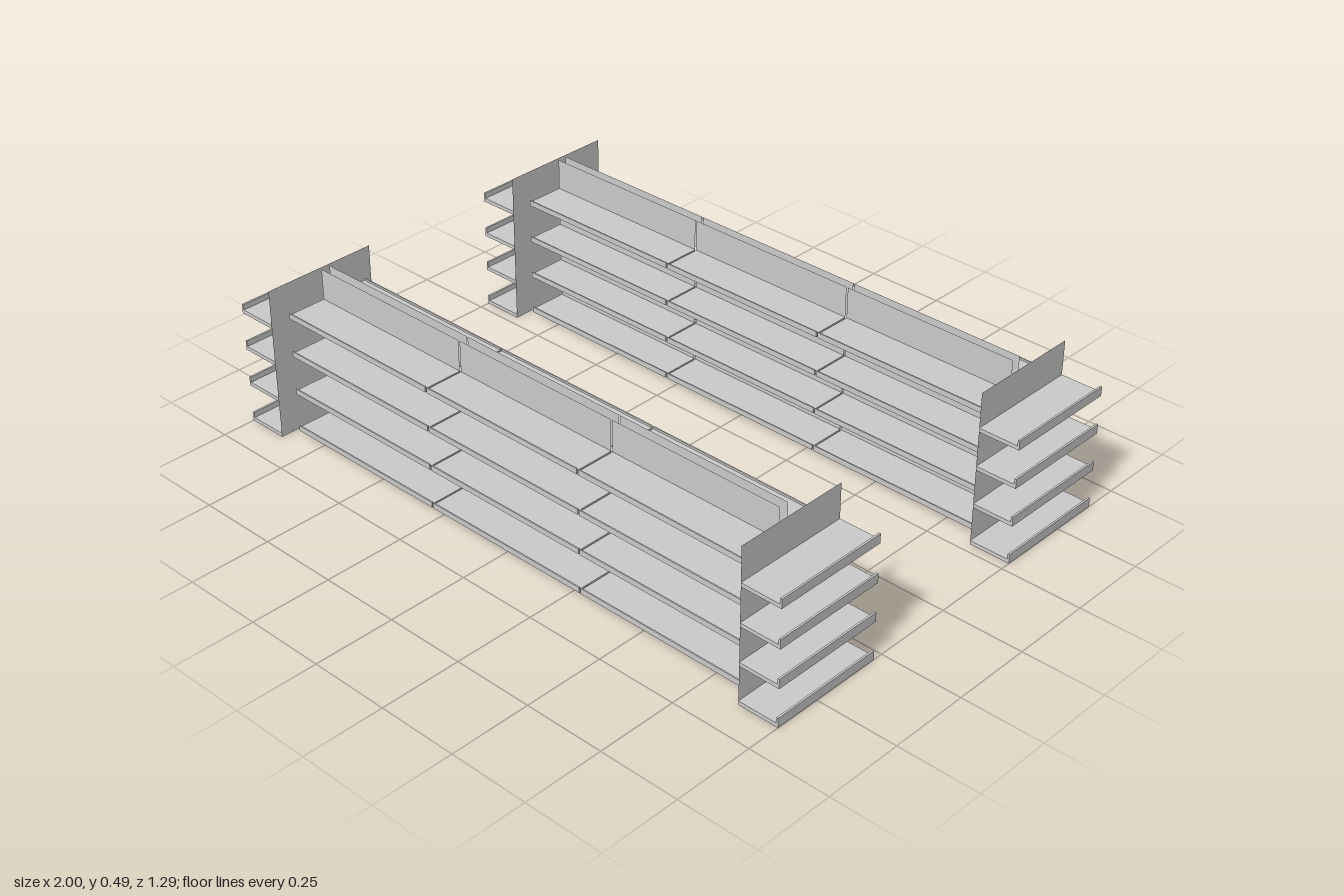
import * as THREE from 'three';

const material = new THREE.MeshStandardMaterial({ color: 0xcccccc, flatShading: true, side: THREE.DoubleSide });

function addMesh(parent, name, geometry, x, y, z) {
  const mesh = new THREE.Mesh(geometry, material);
  mesh.name = name;
  mesh.position.set(x, y, z);
  parent.add(mesh);
}

// One bay: back sheet at z = 0, shelf reaching towards +z, raised lip on its edge
function createBay({ width, height, depth, thickness, lipTop, lipDepth }) {
  const bay = new THREE.Group();
  bay.name = 'shelfBay';
  addMesh(bay, 'backPanel', new THREE.PlaneGeometry(width, height), 0, height / 2, 0);
  addMesh(bay, 'shelf', new THREE.BoxGeometry(width, thickness, depth - lipDepth), 0, thickness / 2, (depth - lipDepth) / 2);
  addMesh(bay, 'shelfLip', new THREE.BoxGeometry(width, lipTop, lipDepth), 0, lipTop / 2, depth - lipDepth / 2);
  return bay;
}

const LEVELS = 4;
const SIDE_BAY = { width: 0.56, height: 0.107, depth: 0.124, thickness: 0.011, lipTop: 0.017, lipDepth: 0.004 };
const END_BAY = { width: 0.364, height: 0.119, depth: 0.128, thickness: 0.012, lipTop: 0.029, lipDepth: 0.006 };

// Double-sided aisle with a shelf stack at each end
function createAisle() {
  const aisle = new THREE.Group();
  aisle.name = 'shelfAisle';
  for (const side of [1, -1]) {
    const longSide = new THREE.Group();
    longSide.name = side > 0 ? 'frontShelves' : 'backShelves';
    const endStack = new THREE.Group();
    endStack.name = side > 0 ? 'leftEndShelves' : 'rightEndShelves';
    for (let level = 0; level < LEVELS; level++) {
      for (const column of [-1, 0, 1]) {
        const bay = createBay(SIDE_BAY);
        bay.position.set(column * 0.565, 0.013 + level * 0.123, 0.0145);
        longSide.add(bay);
      }
      const endBay = createBay(END_BAY);
      endBay.position.set(0, level * 0.119, 0.872);
      endStack.add(endBay);
    }
    longSide.rotation.y = side > 0 ? 0 : Math.PI;
    endStack.rotation.y = side * Math.PI / 2;
    aisle.add(longSide, endStack);
  }
  return aisle;
}

export function createModel() {
  const model = new THREE.Group();
  model.name = 'storeShelving';
  for (const z of [0.463, -0.463]) {
    const aisle = createAisle();
    aisle.position.z = z;
    model.add(aisle);
  }
  return model;
}
